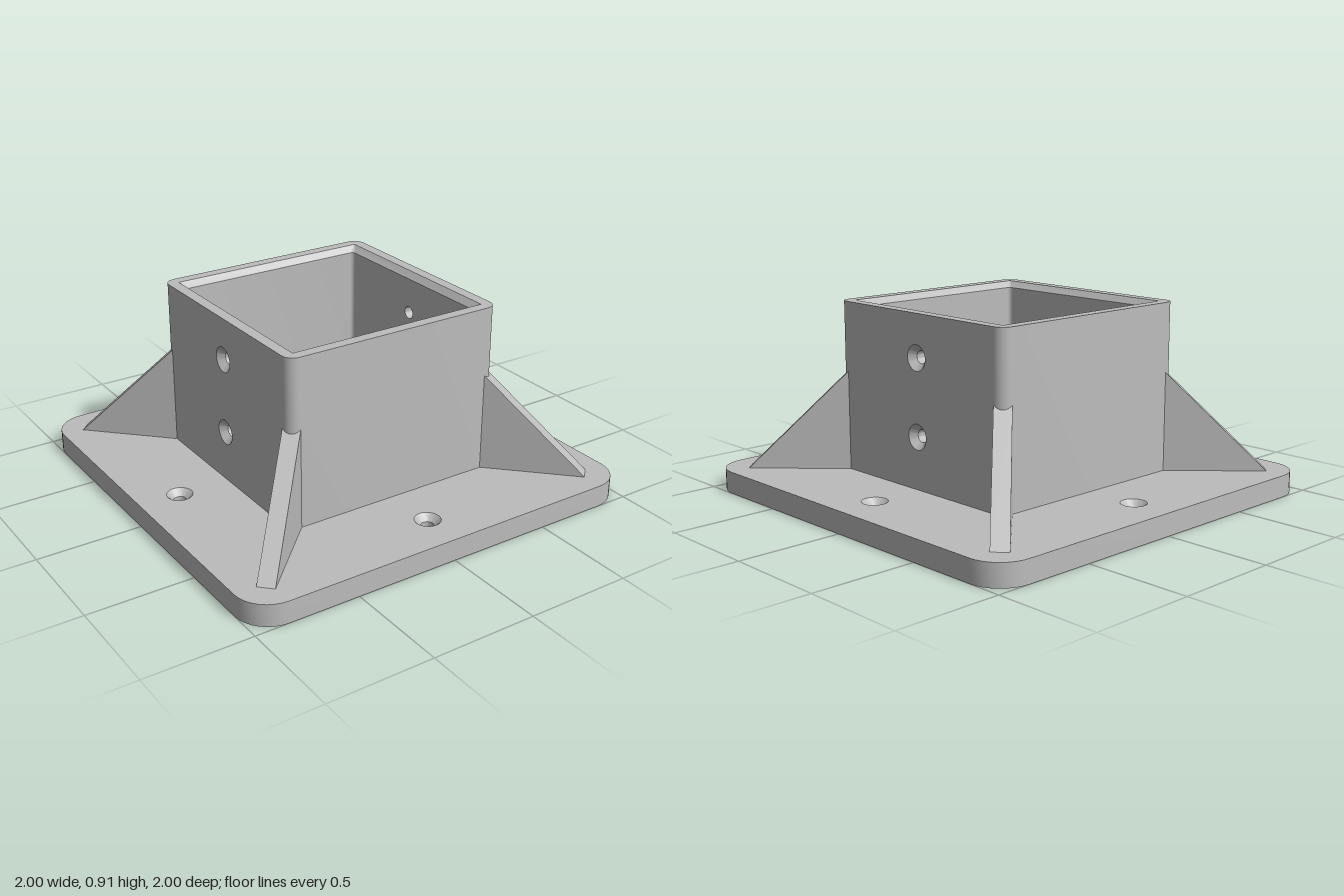
import * as THREE from 'three';
import { toCreasedNormals } from 'three/addons/utils/BufferGeometryUtils.js';

const PLATE_TOP = 0.105, TOP = 0.91;
const OUTER = 0.553, OUTER_R = 0.055; // tower outside half width, corner radius
const INNER = 0.475, INNER_R = 0.02; // tower inside
const SINK_R = 0.06, BORE_R = 0.03, SINK_DEPTH = 0.03;
const SEGMENTS = 32;

// [x, z] points of a rounded square; corners are counted from the +x +z one
function rounded(half, r, first = 0, count = 4, steps = 8) {
  const c = half - r, points = [];
  for (let k = first; k < first + count; k++) {
    const mid = (k + 0.5) * Math.PI / 2;
    const cx = c * Math.sign(Math.sin(mid)), cz = c * Math.sign(Math.cos(mid));
    for (let i = 0; i <= steps; i++) {
      const t = (k + i / steps) * Math.PI / 2;
      points.push([cx + r * Math.sin(t), cz + r * Math.cos(t)]);
    }
  }
  return points;
}

// Strip between two outlines at heights ya and yb
function band(a, ya, b, yb, closed = true) {
  const v = [];
  const n = a.length;
  for (let i = 0; i < (closed ? n : n - 1); i++) {
    const j = (i + 1) % n;
    const a0 = [a[i][0], ya, a[i][1]], a1 = [a[j][0], ya, a[j][1]];
    const b0 = [b[i][0], yb, b[i][1]], b1 = [b[j][0], yb, b[j][1]];
    v.push(...a0, ...a1, ...b0, ...a1, ...b1, ...b0);
  }
  const g = new THREE.BufferGeometry();
  g.setAttribute('position', new THREE.Float32BufferAttribute(v, 3));
  g.computeVertexNormals();
  return toCreasedNormals(g, 0.5);
}

const toVectors = (points) => points.map(([x, y]) => new THREE.Vector2(x, y));

function circle(x, y, r) {
  return Array.from({ length: SEGMENTS }, (_, i) => {
    const t = i / SEGMENTS * Math.PI * 2;
    return [x + r * Math.cos(t), y + r * Math.sin(t)];
  });
}

// Flat face with cut-outs, facing +z
function face(outline, holes = []) {
  const shape = new THREE.Shape(toVectors(outline));
  for (const h of holes) shape.holes.push(new THREE.Path(toVectors(h)));
  return new THREE.ShapeGeometry(shape);
}

// Inner surface of a countersunk hole, mouth at y = 0, going down
function sleeve(depth) {
  const profile = toVectors([[SINK_R, 0], [BORE_R, -SINK_DEPTH], [BORE_R, -depth]]);
  return toCreasedNormals(new THREE.LatheGeometry(profile, SEGMENTS), 0.5);
}

export function createModel() {
  const model = new THREE.Group();
  model.name = 'postBase';
  const grey = new THREE.MeshStandardMaterial({ color: 0xbcbcbc });
  grey.name = 'grey';
  const add = (parent, name, geometry) => {
    const mesh = new THREE.Mesh(geometry, grey);
    mesh.name = name;
    parent.add(mesh);
    return mesh;
  };
  const group = (name) => {
    const g = new THREE.Group();
    g.name = name;
    model.add(g);
    return g;
  };

  // Base plate with four countersunk bolt holes
  const plate = group('basePlate');
  const edge = rounded(1, 0.16);
  const bolts = [[0.8, 0], [-0.8, 0], [0, 0.8], [0, -0.8]];
  add(plate, 'plateEdge', band(edge, 0, edge, PLATE_TOP));
  add(plate, 'plateTop', face(edge, bolts.map(([x, y]) => circle(x, y, SINK_R)))
    .rotateX(-Math.PI / 2).translate(0, PLATE_TOP, 0));
  add(plate, 'plateBottom', face(edge, bolts.map(([x, y]) => circle(x, y, BORE_R)))
    .rotateX(Math.PI / 2));
  for (const [x, z] of bolts) {
    add(plate, 'boltHole', sleeve(PLATE_TOP)).position.set(x, PLATE_TOP, z);
  }

  // Square socket: two identical halves, each a drilled side and a plain side
  const screwHeights = [0.35, 0.71];
  const rimInner = TOP - 0.03;
  const drilled = (halfWidth, top, r) => face(
    [[-halfWidth, PLATE_TOP], [halfWidth, PLATE_TOP], [halfWidth, top], [-halfWidth, top]],
    screwHeights.map((y) => circle(0, y, r)));
  for (const turn of [0, Math.PI]) {
    const half = group('socketHalf');
    half.rotation.y = turn;
    add(half, 'drilledWallOutside', drilled(OUTER - OUTER_R, TOP, SINK_R)
      .rotateY(Math.PI / 2).translate(OUTER, 0, 0));
    add(half, 'drilledWallInside', drilled(INNER - INNER_R, rimInner, BORE_R)
      .rotateY(-Math.PI / 2).translate(INNER, 0, 0));
    for (const y of screwHeights) {
      const hole = add(half, 'screwHole', sleeve(OUTER - INNER));
      hole.rotation.z = -Math.PI / 2;
      hole.position.set(OUTER, y, 0);
    }
    const outside = rounded(OUTER, OUTER_R, -1, 2);
    const inside = rounded(INNER, INNER_R, -1, 2);
    add(half, 'plainWallOutside', band(outside, PLATE_TOP, outside, TOP, false));
    add(half, 'plainWallInside', band(inside, rimInner, inside, PLATE_TOP, false));
  }

  // Flat rim and the chamfer leading into the socket
  const lip = rounded(0.5, 0.001);
  add(model, 'socketRim', face(rounded(OUTER, OUTER_R), [lip])
    .rotateX(-Math.PI / 2).translate(0, TOP, 0));
  add(model, 'rimChamfer', band(lip, TOP, rounded(INNER, INNER_R), rimInner));

  // Diagonal gussets at the four corners
  const profile = new THREE.Shape(toVectors([[0.72, 0.1], [1.23, 0.1], [1.23, PLATE_TOP], [0.72, 0.6]]));
  const gusset = new THREE.ExtrudeGeometry(profile, { depth: 0.08, bevelEnabled: false })
    .translate(0, 0, -0.04);
  for (let k = 0; k < 4; k++) {
    add(model, 'gusset', gusset).rotation.y = (k + 0.5) * Math.PI / 2;
  }
  return model;
}
